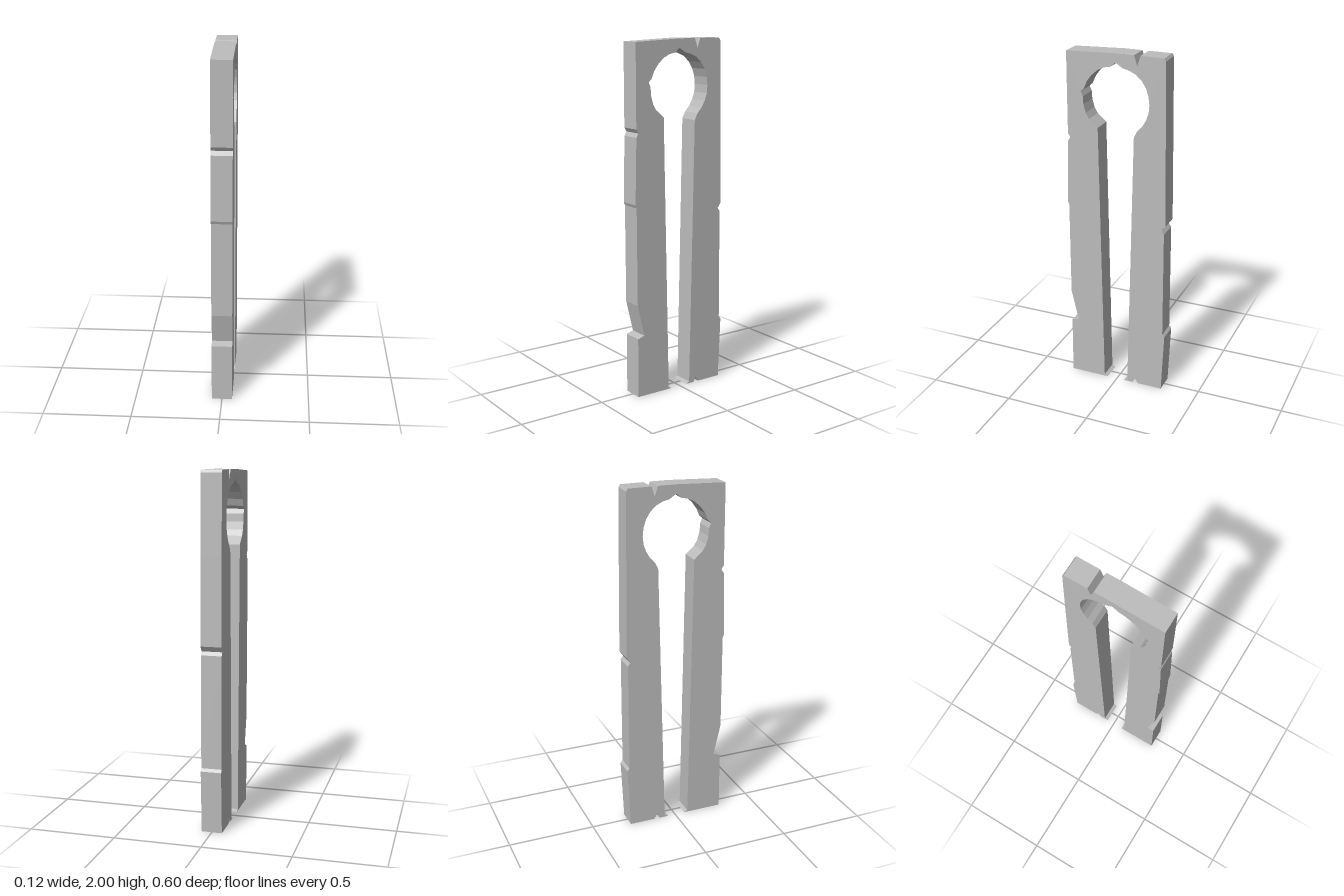
import * as THREE from 'three';

const THICKNESS = 0.117;

export function createModel() {
  const model = new THREE.Group();
  model.name = 'slottedPlate';
  const grey = new THREE.MeshStandardMaterial({ color: 0xbcbcbc, flatShading: true });
  grey.name = 'stone grey';

  // All profiles are [z, y] pairs.
  // Front edge, bottom to top, with its long notch and small nick
  const frontEdge = [
    [0.29, 0], [0.29, 0.345], [0.248, 0.358], [0.291, 0.54], [0.293, 1.095],
    [0.3, 1.112], [0.291, 1.48], [0.277, 1.503], [0.291, 1.525], [0.291, 1.987],
  ];
  // Top edge with a V notch
  const topEdge = [
    [0, 2], [-0.1, 2], [-0.118, 1.945], [-0.136, 2], [-0.268, 2], [-0.277, 1.985],
  ];
  // Back edge, top to bottom, with a nick and a step
  const backEdge = [
    [-0.284, 1.55], [-0.291, 1.06], [-0.27, 1.03], [-0.284, 1.01],
    [-0.286, 0.372], [-0.299, 0.356], [-0.283, 0],
  ];
  // Foot of the back leg with a small V notch
  const backFoot = [[-0.135, 0], [-0.115, 0.032], [-0.1, 0], [-0.047, 0], [-0.068, 0.01]];
  // Round opening above the tapering slot, running from back to front
  const opening = [
    [-0.101, 1.55], [-0.12, 1.588], [-0.148, 1.617], [-0.17, 1.655], [-0.184, 1.695],
    [-0.188, 1.74], [-0.183, 1.785], [-0.168, 1.83], [-0.143, 1.868], [-0.11, 1.898],
    [-0.07, 1.916], [-0.037, 1.923], [0.005, 1.95], [0.035, 1.925], [0.07, 1.918],
    [0.108, 1.9], [0.145, 1.868], [0.173, 1.83], [0.19, 1.79], [0.209, 1.772],
    [0.197, 1.745], [0.194, 1.7], [0.181, 1.655], [0.162, 1.622], [0.111, 1.577],
  ];
  // Foot of the front leg
  const frontFoot = [[0.08, 0.01], [0.06, 0]];

  const outline = [...frontEdge, ...topEdge, ...backEdge, ...backFoot, ...opening, ...frontFoot];
  const shape = new THREE.Shape(outline.map(([z, y]) => new THREE.Vector2(z, y)));
  const geometry = new THREE.ExtrudeGeometry(shape, { depth: THICKNESS, bevelEnabled: false });
  geometry.translate(0, 0, -THICKNESS / 2);
  geometry.rotateY(-Math.PI / 2);

  const plate = new THREE.Mesh(geometry, grey);
  plate.name = 'keyholePlate';
  model.add(plate);
  return model;
}
